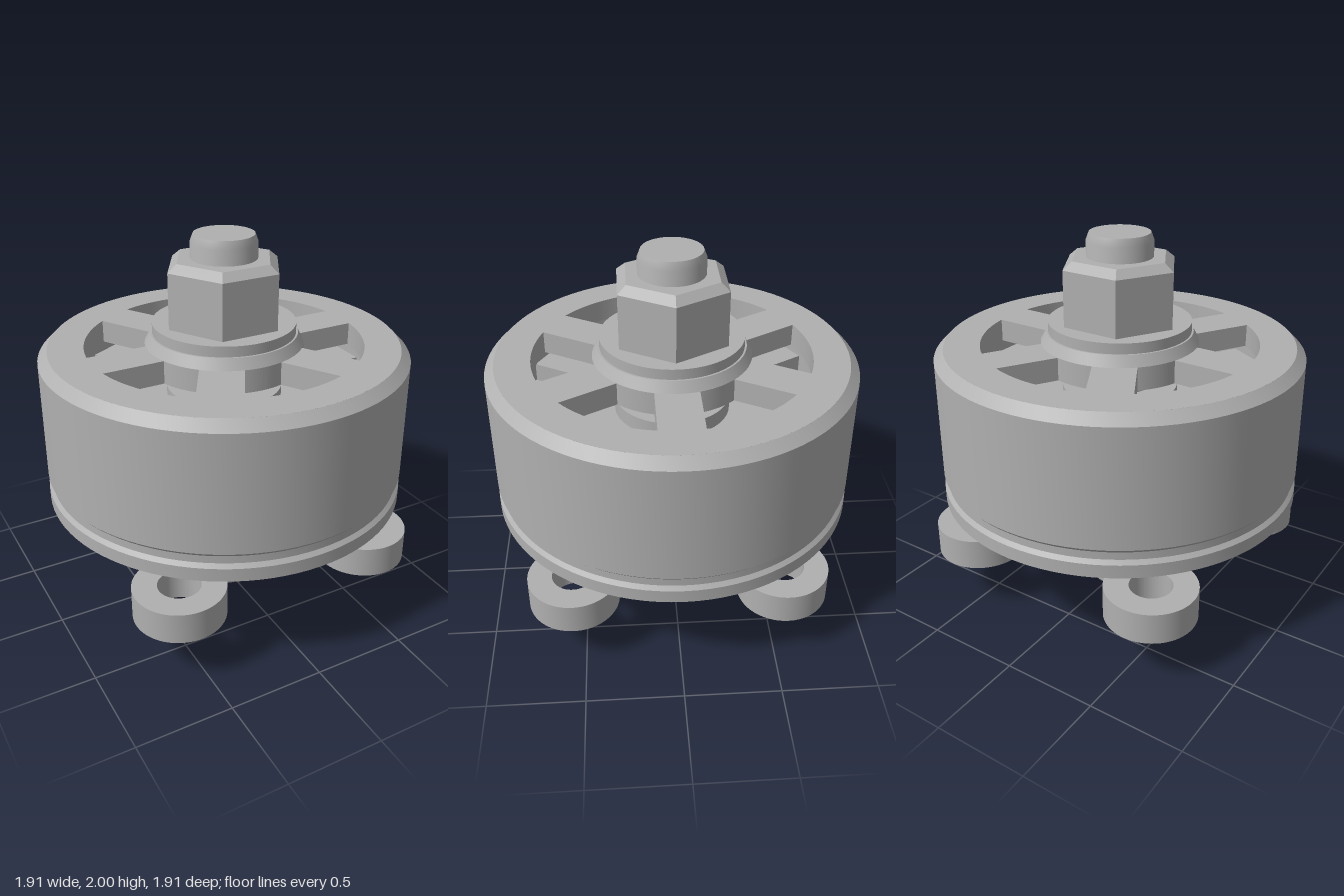
import * as THREE from 'three';
import { toCreasedNormals } from 'three/addons/utils/BufferGeometryUtils.js';

export function createModel() {
  const model = new THREE.Group();
  model.name = 'motor';
  const metal = new THREE.MeshStandardMaterial({ color: 0xb0b0b0 });
  metal.name = 'grey metal';

  const add = (name, geometry, parent = model) => {
    const mesh = new THREE.Mesh(geometry, metal);
    mesh.name = name;
    parent.add(mesh);
    return mesh;
  };
  // Turned part from [radius, height] pairs, with crisp edges
  const turned = (points, segments = 96) => toCreasedNormals(
    new THREE.LatheGeometry(points.map(([r, y]) => new THREE.Vector2(r, y)), segments), 0.4);
  // Flat outline raised from y0 to y1
  const slab = (shape, y0, y1) => {
    const g = new THREE.ExtrudeGeometry(shape, { depth: y1 - y0, bevelEnabled: false, curveSegments: 64 });
    g.rotateX(-Math.PI / 2);
    g.translate(0, y0, 0);
    return toCreasedNormals(g, 0.4);
  };
  const disc = (r) => new THREE.Shape().absarc(0, 0, r, 0, Math.PI * 2, false);

  // Shaft, chamfered at both ends
  add('shaft', turned([[0, 0], [0.155, 0], [0.17, 0.02], [0.17, 1.96], [0.155, 2], [0, 2]], 48));

  // Bell wall with a groove near the lower rim
  add('bellWall', turned([
    [0.89, 1.34], [0.89, 0.62], [0.955, 0.62], [0.955, 0.69], [0.937, 0.71],
    [0.937, 0.75], [0.955, 0.77], [0.955, 1.39], [0.905, 1.44],
  ]));
  add('magnetRing', turned([[0.85, 1.3], [0.85, 0.72], [0.895, 0.72], [0.895, 1.3], [0.85, 1.3]]));

  // Bell top: six windows between parallel-sided spokes
  const plate = disc(0.905);
  const inner = 0.41, outer = 0.72, halfSpoke = 0.11;
  for (let i = 0; i < 6; i++) {
    const mid = Math.PI / 6 + i * Math.PI / 3;
    const a = Math.PI / 6 - Math.asin(halfSpoke / outer);
    const b = Math.PI / 6 - Math.asin(halfSpoke / inner);
    const hole = new THREE.Path();
    hole.absarc(0, 0, outer, mid - a, mid + a, false);
    hole.absarc(0, 0, inner, mid + b, mid - b, true);
    hole.closePath();
    plate.holes.push(hole);
  }
  add('bellTop', slab(plate, 1.32, 1.44));

  // Collar and washer under the nut
  add('collar', turned([[0, 1.43], [0.41, 1.44], [0.38, 1.495], [0, 1.495]]));
  add('washer', turned([[0, 1.49], [0.37, 1.49], [0.37, 1.55], [0, 1.55]]));

  // Hexagonal nut with a chamfered top
  const nut = new THREE.Group();
  nut.name = 'nut';
  nut.rotation.y = Math.PI / 6;
  model.add(nut);
  const hex = (name, top, bottom, y0, y1) => {
    const g = new THREE.CylinderGeometry(top, bottom, y1 - y0, 6).translate(0, (y0 + y1) / 2, 0);
    add(name, toCreasedNormals(g, 0.3), nut);
  };
  hex('nutBody', 0.312, 0.312, 1.55, 1.84);
  hex('nutChamfer', 0.262, 0.312, 1.84, 1.88);

  // Stator: core disc with twelve windings
  add('statorCore', turned([[0, 0.88], [0.8, 0.88], [0.8, 1.12], [0, 1.12]]));
  for (let i = 0; i < 12; i++) {
    const pivot = new THREE.Group();
    pivot.name = 'winding';
    pivot.rotation.y = i * Math.PI / 6;
    model.add(pivot);
    add('windingBlock', new THREE.BoxGeometry(0.2, 0.44, 0.305).translate(0, 1, 0.6375), pivot);
  }

  // Base: boss, hub and four mounting lugs
  add('boss', turned([[0, 0.47], [0.302, 0.47], [0.302, 1.2], [0, 1.2]]));
  add('baseHub', turned([[0, 0.28], [0.465, 0.28], [0.465, 0.48], [0, 0.48]]));
  const lug = disc(0.237);
  lug.holes.push(new THREE.Path().absarc(0, 0, 0.11, 0, Math.PI * 2, true));
  const lugGeometry = slab(lug, 0.28, 0.445).translate(0, 0, 0.778);
  const armGeometry = new THREE.BoxGeometry(0.31, 0.2, 0.35).translate(0, 0.38, 0.475);
  for (let i = 0; i < 4; i++) {
    const mount = new THREE.Group();
    mount.name = 'mount';
    mount.rotation.y = Math.PI / 4 + i * Math.PI / 2;
    model.add(mount);
    add('mountArm', armGeometry, mount);
    add('mountLug', lugGeometry, mount);
  }
  return model;
}
